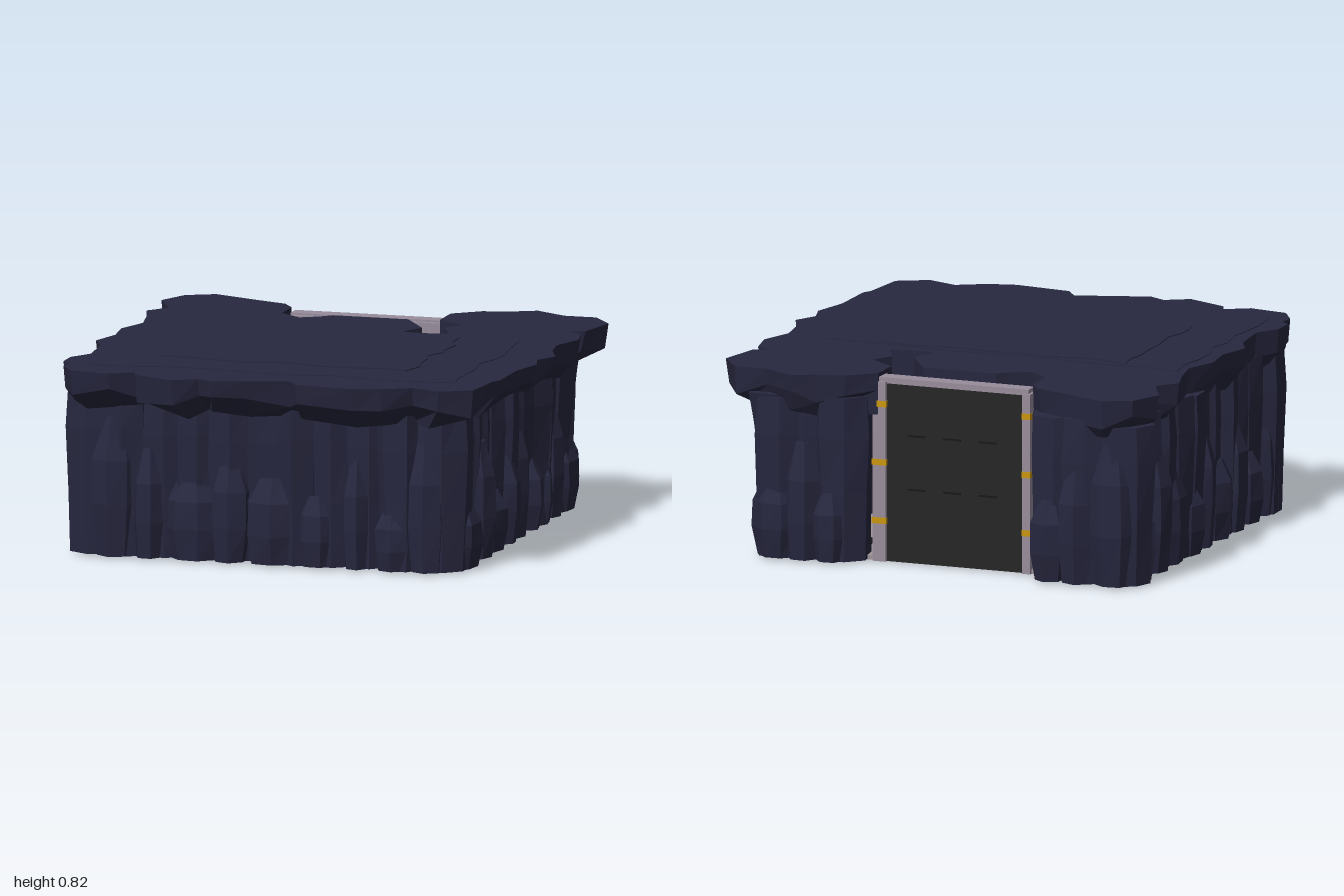
import * as THREE from 'three';
import { mergeGeometries } from 'three/addons/utils/BufferGeometryUtils.js';

const mat = (name, color) => {
  const m = new THREE.MeshStandardMaterial({ color });
  m.name = name;
  return m;
};

export function createModel() {
  const root = new THREE.Group();
  root.name = 'rockHangar';
  const rockMat = mat('navy rock', 0x27273f);
  const metal = mat('grey metal', 0x988d9c);
  const floorMat = mat('floor grey', 0x9f9599);
  const dark = mat('charcoal panel', 0x262626);
  const black = mat('black detail', 0x181818);
  const yellow = mat('hazard yellow', 0xc8960f);

  let seed = 7;
  const rand = () => (seed = (seed * 16807) % 2147483647) / 2147483647;
  const jit = (a) => (rand() * 2 - 1) * a;

  const add = (name, geo, material, x = 0, y = 0, z = 0) => {
    const m = new THREE.Mesh(geo, material);
    m.name = name;
    m.position.set(x, y, z);
    root.add(m);
    return m;
  };
  const box = (name, w, h, d, material, x, y, z) =>
    add(name, new THREE.BoxGeometry(w, h, d), material, x, y, z);

  // Faceted solid through rings of [x, y, z], with flat-shaded caps
  function loft(rings) {
    const pos = [];
    const n = rings[0].length;
    const tri = (a, b, c) => pos.push(...a, ...b, ...c);
    for (let j = 0; j + 1 < rings.length; j++) {
      for (let i = 0; i < n; i++) {
        const k = (i + 1) % n;
        const [a, b, c, d] = [rings[j][i], rings[j][k], rings[j + 1][i], rings[j + 1][k]];
        tri(a, c, b);
        tri(b, c, d);
      }
    }
    [[rings[0], -1], [rings[rings.length - 1], 1]].forEach(([ring, up]) => {
      const flat = ring.map((p) => new THREE.Vector2(p[0], p[2]));
      THREE.ShapeUtils.triangulateShape(flat, []).forEach(([i, j, k]) => {
        const [a, b, c] = [ring[i], ring[j], ring[k]];
        const ny = (b[2] - a[2]) * (c[0] - a[0]) - (b[0] - a[0]) * (c[2] - a[2]);
        if (ny * up > 0) tri(a, b, c);
        else tri(a, c, b);
      });
    });
    const g = new THREE.BufferGeometry();
    g.setAttribute('position', new THREE.Float32BufferAttribute(pos, 3));
    g.computeVertexNormals();
    return g;
  }

  // Rock column: jittered seven-sided loft
  const TALL = [[0, 0.9], [0.4, 0.97], [0.75, 1.05], [1, 1]];
  const LOW = [[0, 0.82], [0.35, 1.03], [0.7, 1], [1, 0.5]];
  const FLARED = [[0, 0.9], [0.42, 0.85], [0.8, 1.25], [1, 1.35]];
  function column(x, z, rx, rz, h, profile) {
    const sides = 7;
    const turn = rand() * 6;
    const lumps = Array.from({ length: sides }, () => 1 + jit(0.1));
    return loft(profile.map(([t, s], j) => {
      const dy = j ? jit(0.03) : 0;
      return lumps.map((l, i) => {
        const a = turn + (i / sides) * Math.PI * 2;
        const r = s * l * (1 + jit(0.05));
        return [x + Math.cos(a) * rx * r, 0.008 + (t + dy) * h, z + Math.sin(a) * rz * r];
      });
    }));
  }

  // A wall is a row of tall columns with shorter ones standing in front;
  // place(u, out) maps distance along the wall and distance outward to [x, z]
  function wall(name, place, from, to, shorts) {
    const parts = [];
    const count = Math.round((to - from) / 0.145);
    const alongZ = place(1, 0)[0] !== 1;
    for (let i = 0; i <= count; i++) {
      const [x, z] = place(from + ((to - from) * i) / count, jit(0.015));
      const r = 0.115 + jit(0.012);
      parts.push(column(x, z, r, r, 0.7, TALL));
    }
    for (const [u, w, h] of shorts) {
      const [x, z] = place(u, 0.055);
      const [ru, ro] = [w / 2 + 0.015, 0.09];
      parts.push(column(x, z, alongZ ? ro : ru, alongZ ? ru : ro, h, LOW));
    }
    add(name, mergeGeometries(parts), rockMat);
  }
  wall('frontRockWall', (u, o) => [u, 0.68 + o], -0.82, 0.67,
    [[-0.72, 0.16, 0.6], [-0.57, 0.12, 0.46], [-0.38, 0.21, 0.35], [-0.22, 0.14, 0.43], [-0.03, 0.21, 0.37],
      [0.16, 0.16, 0.3], [0.34, 0.11, 0.46], [0.5, 0.13, 0.26], [0.64, 0.16, 0.55]]);
  wall('leftRockWall', (u, o) => [0.68 + o, u], -0.72, 0.66,
    [[0.6, 0.22, 0.28], [0.35, 0.16, 0.5], [0.17, 0.21, 0.26], [0, 0.13, 0.38], [-0.16, 0.17, 0.5],
      [-0.33, 0.13, 0.3], [-0.48, 0.14, 0.3], [-0.65, 0.13, 0.48], [-0.8, 0.2, 0.3]]);
  wall('rightRockWall', (u, o) => [-0.8 - o, u], -0.74, 0.66,
    [[0.62, 0.16, 0.45], [0.46, 0.17, 0.3], [0.28, 0.15, 0.48], [0.12, 0.2, 0.34], [-0.06, 0.14, 0.5],
      [-0.22, 0.17, 0.3], [-0.4, 0.2, 0.4], [-0.58, 0.15, 0.52], [-0.75, 0.16, 0.35]]);
  wall('backLeftRockTower', (u, o) => [u, -0.83 - o], 0.43, 0.69,
    [[0.46, 0.14, 0.3], [0.58, 0.14, 0.5], [0.7, 0.16, 0.34]]);
  wall('backRightRockTower', (u, o) => [u, -0.83 - o], -0.85, -0.54,
    [[-0.53, 0.14, 0.34], [-0.66, 0.16, 0.5], [-0.82, 0.18, 0.6]]);
  add('flaredCornerRock', column(0.72, -0.78, 0.1, 0.13, 0.7, FLARED), rockMat);

  // Roof slab: ragged outline with a notch behind the door, bevelled underneath
  const notch = [[-0.41, -0.64], [-0.31, -0.56], [-0.23, -0.61], [-0.19, -0.65], [0.14, -0.65], [0.25, -0.48],
    [0.2, -0.37], [0.3, -0.36], [0.4, -0.38], [0.34, -0.5], [0.39, -0.59], [0.27, -0.68]];
  const rim = [[0.27, -0.83], [0.38, -0.92], [0.5, -0.95], [0.6, -1], [0.74, -0.92], [0.88, -0.92], [0.97, -0.8],
    [0.93, -0.6], [0.87, -0.57], [0.93, -0.54], [0.96, -0.4], [0.91, -0.25], [0.93, -0.12], [0.98, 0],
    [0.93, 0.1], [0.96, 0.2], [0.92, 0.37], [0.92, 0.6], [0.9, 0.64], [0.88, 0.86], [0.75, 0.93], [0.62, 0.88],
    [0.5, 0.95], [0.38, 0.98], [0.13, 0.95], [0.08, 0.88], [-0.1, 0.94], [-0.23, 0.98], [-0.3, 0.94], [-0.4, 1],
    [-0.58, 0.92], [-0.6, 0.87], [-0.7, 0.93], [-0.87, 0.9], [-0.93, 0.8], [-0.92, 0.74], [-0.96, 0.7],
    [-0.96, 0.6], [-0.9, 0.5], [-0.92, 0.3], [-0.97, 0.2], [-0.93, 0.05], [-0.95, -0.1], [-0.9, -0.25],
    [-0.93, -0.4], [-0.97, -0.53], [-0.9, -0.62], [-0.98, -0.78], [-0.92, -0.92], [-0.8, -0.98], [-0.6, -0.9],
    [-0.46, -0.85], [-0.41, -0.78]];
  const outline = [...notch, ...rim];
  const N = outline.length;
  const ring = (y, inset, dy) => outline.map(([x, z], i) => {
    const p = outline[(i + N - 2) % N];
    const q = outline[(i + 2) % N];
    const [tx, tz] = [q[0] - p[0], q[1] - p[1]];
    const edge = i <= notch.length || i === N - 1;
    // the overhang is deep at the front and left, slight at the back and right
    const depth = edge ? 0 : z < -0.85 || x < -0.88 ? inset * 0.45 : inset;
    const d = (depth * (1 + jit(0.3))) / Math.hypot(tx, tz);
    return [x - tz * d, y + jit(dy), z + tx * d];
  });
  add('roofSlab', loft([ring(0.645, 0.125, 0.03), ring(0.715, 0.02, 0.03), ring(0.81, 0, 0)]), rockMat);

  // Slightly stepped, ragged plates on the roof
  function plate(name, x0, x1, z0, z1, y) {
    const c = [[x0, z0], [x1, z0], [x1, z1], [x0, z1]];
    const pts = [];
    c.forEach(([x, z], k) => {
      const [ex, ez] = c[(k + 1) % 4];
      for (let i = 0; i < 9; i++) {
        const t = i / 9;
        pts.push([x + (ex - x) * t + jit(0.025), z + (ez - z) * t + jit(0.025)]);
      }
    });
    const at = (h) => pts.map(([x, z]) => [x, h, z]);
    add(name, loft([at(0.8), at(y)]), rockMat);
  }
  plate('outerRoofPlate', -0.86, 0.75, -0.31, 0.73, 0.813);
  plate('innerRoofPlate', -0.62, 0.49, -0.27, 0.51, 0.817);

  // Floor with a square opening
  const rect = (s, x0, x1, z0, z1) => {
    s.moveTo(x0, -z0);
    s.lineTo(x0, -z1);
    s.lineTo(x1, -z1);
    s.lineTo(x1, -z0);
    s.closePath();
    return s;
  };
  const slab = (outer, hole, depth) => {
    const s = rect(new THREE.Shape(), ...outer);
    s.holes.push(rect(new THREE.Path(), ...hole));
    return new THREE.ExtrudeGeometry(s, { depth, bevelEnabled: false }).rotateX(-Math.PI / 2);
  };
  const square = (h) => [-0.045 - h, -0.045 + h, -0.085 - h, -0.085 + h];
  add('floor', slab([-0.84, 0.71, -0.81, 0.68], square(0.29), 0.02), floorMat, 0, 0.004, 0);
  add('openingTrim', slab(square(0.32), square(0.28), 0.024), yellow, 0, 0.002, 0);

  // Dark hatching under the trim
  for (let i = 0; i < 18; i++) {
    const u = -0.28 + (i * 0.56) / 17;
    for (const s of [-1, 1]) {
      box('trimHatch', 0.01, 0.002, 0.03, black, -0.045 + u, 0.001, -0.085 + s * 0.3);
      box('trimHatch', 0.03, 0.002, 0.01, black, -0.045 + s * 0.3, 0.001, -0.085 + u);
    }
  }

  // Ring fittings, vents and threshold marks in the floor
  for (const [x, z] of [[0.49, -0.6], [-0.585, -0.645]]) {
    add('floorRing', new THREE.TorusGeometry(0.09, 0.018, 6, 20).rotateX(Math.PI / 2), black, x, 0.018, z);
    add('floorInnerRing', new THREE.TorusGeometry(0.048, 0.012, 6, 16).rotateX(Math.PI / 2), black, x, 0.014, z);
  }
  for (let i = 0; i < 6; i++) {
    box('frontFloorVent', 0.03, 0.006, 0.02, black, -0.62 + i * 0.23, 0.003, 0.58);
    box('rightFloorVent', 0.02, 0.006, 0.03, black, -0.72, 0.003, -0.4 + i * 0.18);
  }
  for (let i = 0; i < 4; i++) {
    box('thresholdMark', 0.09, 0.008, 0.02, yellow, -0.31 + i * 0.16, 0.004, -0.77);
    box('thresholdGap', 0.05, 0.008, 0.02, black, -0.23 + i * 0.16, 0.004, -0.77);
  }

  // Door and its frame
  box('door', 0.625, 0.765, 0.05, dark, -0.075, 0.388, -0.79);
  box('lintel', 0.68, 0.025, 0.07, metal, -0.065, 0.78, -0.782);
  box('innerBeam', 0.66, 0.09, 0.04, metal, -0.065, 0.74, -0.742);
  box('innerHeader', 0.64, 0.05, 0.16, metal, -0.065, 0.62, -0.71);
  box('headerStripe', 0.6, 0.008, 0.014, yellow, -0.085, 0.648, -0.678);
  for (const [x, w] of [[-0.4, 0.035], [0.265, 0.06]]) {
    box('doorPost', w, 0.77, 0.09, metal, x, 0.39, -0.785);
    for (const y of [0.18, 0.43, 0.68]) box('postMarker', w + 0.004, 0.026, 0.094, yellow, x, y, -0.785);
  }
  for (const y of [0.32, 0.55]) {
    for (const x of [-0.22, -0.06, 0.1]) box('doorSeam', 0.08, 0.008, 0.006, black, x, y, -0.816);
  }

  // Domed drums behind the lintel
  for (const x of [-0.27, -0.075, 0.12]) {
    add('drum', new THREE.CylinderGeometry(0.08, 0.08, 0.06, 18), black, x, 0.68, -0.715);
    add('drumDome', new THREE.SphereGeometry(0.058, 16, 6, 0, Math.PI * 2, 0, Math.PI / 2).scale(1, 0.6, 1),
      metal, x, 0.71, -0.715);
  }

  // Support arms inside the roof slot
  box('supportArm', 0.09, 0.05, 0.36, metal, 0.28, 0.6, -0.52).rotation.y = 0.12;
  box('supportLeg', 0.07, 0.58, 0.07, metal, 0.3, 0.3, -0.42);
  box('supportFoot', 0.16, 0.02, 0.12, metal, 0.25, 0.57, -0.4);
  box('supportPad', 0.05, 0.02, 0.12, dark, 0.32, 0.625, -0.56);
  box('sideArm', 0.08, 0.05, 0.2, metal, -0.34, 0.6, -0.67);
  add('armKnob', new THREE.CylinderGeometry(0.03, 0.03, 0.03, 12), black, 0.23, 0.64, -0.56);
  box('armMarker', 0.04, 0.008, 0.016, yellow, 0.23, 0.66, -0.56);
  return root;
}
